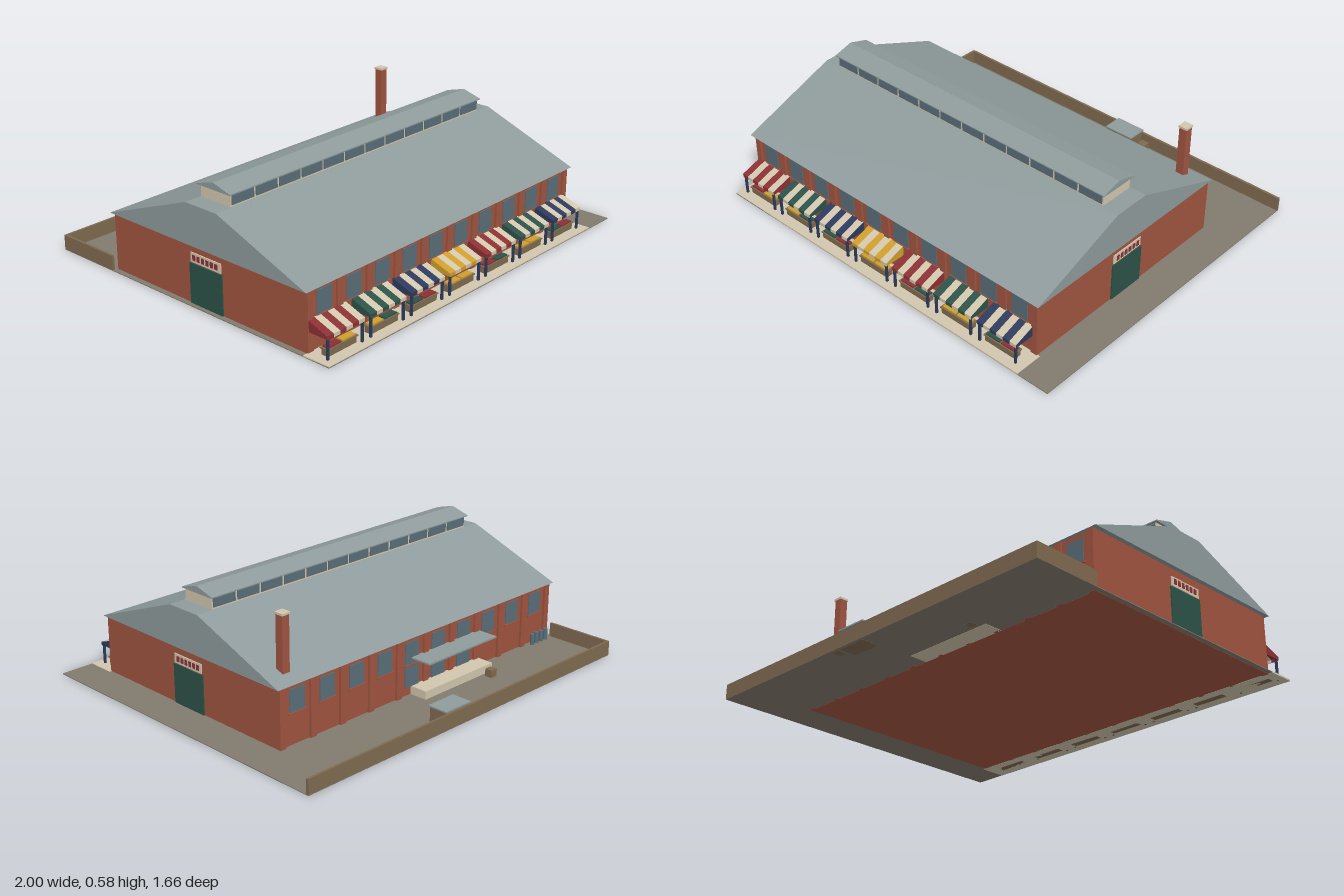
import * as THREE from 'three';

const mat = (name, color) => {
  const m = new THREE.MeshStandardMaterial({ color });
  m.name = name;
  return m;
};

export function createModel() {
  const M = {
    brick: mat('brick', 0xa05440),
    steel: mat('roofSteel', 0x8f9b9c),
    ground: mat('paving', 0x827b6e),
    cream: mat('cream', 0xd2c7ae),
    wood: mat('wood', 0x7f6a50),
    glass: mat('glass', 0x5a6e78),
    red: mat('red', 0x8c3034),
    green: mat('green', 0x2c5248),
    navy: mat('navy', 0x2c3a5c),
    yellow: mat('yellow', 0xcf9f2c),
  };
  const model = new THREE.Group();
  model.name = 'marketHall';

  const add = (name, geo, m, parent = model) => {
    const mesh = new THREE.Mesh(geo, m);
    mesh.name = name;
    parent.add(mesh);
    return mesh;
  };
  // Box given by its limits on each axis
  const box = (name, m, x0, x1, y0, y1, z0, z1, parent) => {
    const g = new THREE.BoxGeometry(x1 - x0, y1 - y0, z1 - z0);
    g.translate((x0 + x1) / 2, (y0 + y1) / 2, (z0 + z1) / 2);
    return add(name, g, m, parent);
  };
  // Outline of [z, y] points extended along x
  const prism = (name, m, pts, x0, x1, parent) => {
    const shape = new THREE.Shape(pts.map(([z, y]) => new THREE.Vector2(-z, y)));
    const g = new THREE.ExtrudeGeometry(shape, { depth: x1 - x0, bevelEnabled: false });
    g.rotateY(Math.PI / 2).translate(x0, 0, 0);
    return add(name, g, m, parent);
  };

  // Yard, pavement and boundary walls
  box('yard', M.ground, -1, 1, 0.001, 0.005, -0.835, 0.83);
  box('pavement', M.cream, -1, 0.835, 0, 0.008, 0.69, 0.83);
  box('backYardWall', M.wood, -1, 1, 0.002, 0.075, -0.835, -0.823);
  box('sideYardWall', M.wood, -1, -0.988, 0.002, 0.075, -0.823, -0.49);

  // Hall walls
  const WX0 = -0.975, WX1 = 0.82, WZ0 = -0.47, WZ1 = 0.685, EAVE = 0.285;
  box('hallWalls', M.brick, WX0, WX1, 0, EAVE, WZ0, WZ1);

  // Pilasters and windows along both long sides
  const BAYS = 10, bay = (WX1 - WX0 - 0.03) / BAYS;
  for (const [side, z, s] of [['front', WZ1, 1], ['back', WZ0, -1]]) {
    const strip = (name, m, x, w, y0, y1, d) =>
      box(name, m, x - w / 2, x + w / 2, y0, y1, Math.min(z, z + s * d), Math.max(z, z + s * d));
    for (let i = 0; i <= BAYS; i++) {
      const x = WX0 + 0.015 + i * bay;
      strip(side + 'Pilaster', M.brick, x, 0.032, 0, EAVE, 0.011);
      if (i === BAYS) break;
      const c = x + bay / 2;
      strip(side + 'Window', M.glass, c, 0.088, 0.155, 0.262, 0.004);
      strip(side + 'Sill', M.brick, c, 0.1, 0.146, 0.155, 0.008);
    }
  }

  // Gable doors with a panelled board above
  for (const [x, s] of [[WX1, 1], [WX0, -1]]) {
    const plate = (name, m, d, y0, y1, z0, z1) =>
      box(name, m, Math.min(x, x + s * d), Math.max(x, x + s * d), y0, y1, z0, z1);
    plate('gableDoor', M.green, 0.006, 0.005, 0.195, 0.01, 0.208);
    plate('gableBoard', M.cream, 0.005, 0.2, 0.245, 0.018, 0.202);
    for (let i = 0; i < 6; i++) {
      const z = 0.04 + i * 0.027;
      plate('boardPanel', M.red, 0.008, 0.211, 0.236, z - 0.008, z + 0.008);
    }
  }

  // Main roof
  prism('mainRoof', M.steel,
    [[0.708, EAVE], [0.205, 0.477], [0.018, 0.477], [-0.488, EAVE]], -0.997, 0.836);

  // Ridge lantern with its glazing
  box('lanternWalls', M.cream, -0.91, 0.75, 0.47, 0.534, 0.022, 0.2);
  const PANES = 12, pane = 1.66 / PANES;
  for (let i = 0; i < PANES; i++) {
    const x = -0.91 + i * pane;
    for (const z of [0.2, 0.018]) {
      box('lanternPane', M.glass, x + 0.006, x + pane - 0.006, 0.486, 0.528, z, z + 0.004);
    }
  }
  prism('lanternRoof', M.steel,
    [[0.21, 0.533], [0.21, 0.538], [0.11, 0.566], [0.01, 0.538], [0.01, 0.533]], -0.922, 0.76);

  // Chimney
  box('chimney', M.brick, 0.707, 0.747, 0.28, 0.572, -0.42, -0.38);
  box('chimneyCap', M.cream, 0.704, 0.75, 0.57, 0.58, -0.424, -0.377);

  // Market stalls with striped awnings
  const awningColors = [M.red, M.green, M.navy, M.yellow, M.red, M.green, M.navy];
  const produce = [M.yellow, M.green, M.red, M.yellow, M.green, M.yellow, M.red];
  const STRIPES = 6, HALF = 0.111, sw = (2 * HALF) / STRIPES;
  awningColors.forEach((color, k) => {
    const stall = new THREE.Group();
    stall.name = 'stall';
    stall.position.x = -0.86 + k * 0.2575;
    model.add(stall);

    // Sloped cloth with a hanging front edge
    const cloth = [[0.69, 0.154], [0.796, 0.117], [0.796, 0.1], [0.792, 0.1], [0.792, 0.113], [0.69, 0.148]];
    for (let i = 0; i < STRIPES; i++) {
      const x = -HALF + i * sw;
      prism('awningStripe', i % 2 ? M.cream : color, cloth, x, x + sw, stall);
    }
    // Awning end panels and posts
    for (const s of [-1, 1]) {
      const x = s * (HALF - 0.001);
      prism('awningEnd', color, [[0.69, 0.153], [0.795, 0.116], [0.795, 0.102], [0.69, 0.102]],
        x - 0.002, x + 0.002, stall);
      const px = s * 0.102;
      box('awningPost', M.navy, px - 0.005, px + 0.005, 0, 0.112, 0.783, 0.793, stall);
    }
    // Counter and goods
    box('counter', M.wood, -0.085, 0.085, 0, 0.038, 0.738, 0.774, stall);
    box('counterTop', M.wood, -0.09, 0.09, 0.036, 0.042, 0.734, 0.778, stall);
    const goods = [produce[k], produce[(k + 2) % 7]];
    goods.forEach((g, i) => {
      const x = i ? -0.08 : 0.005;
      box('goods', g, x, x + 0.075, 0.042, 0.049, 0.74, 0.772, stall);
    });
  });

  // Loading dock, canopy and doors
  box('loadingDock', M.cream, -0.45, 0.015, 0, 0.045, -0.563, WZ0);
  box('dockCanopy', M.steel, -0.45, 0.015, 0.177, 0.185, -0.582, WZ0);
  for (const i of [3, 4, 5]) {
    const c = WX0 + 0.015 + (i + 0.5) * bay;
    box('dockDoor', M.glass, c - 0.045, c + 0.045, 0.045, 0.15, WZ0 - 0.006, WZ0);
  }

  // Waste bin, crates and canisters in the yard
  box('wasteBin', M.wood, 0.03, 0.18, 0, 0.083, -0.823, -0.735);
  box('wasteBinLid', M.steel, 0.025, 0.185, 0.083, 0.09, -0.832, -0.73);
  box('crate', M.wood, 0.192, 0.235, 0, 0.04, -0.818, -0.776);
  box('crate', M.wood, -0.418, -0.38, 0, 0.042, -0.618, -0.58);
  for (let i = 0; i < 4; i++) {
    const c = add('canister', new THREE.CylinderGeometry(0.011, 0.011, 0.055, 12), M.glass);
    c.position.set(-0.943 + i * 0.034, 0.0325, -0.496);
  }
  return model;
}
